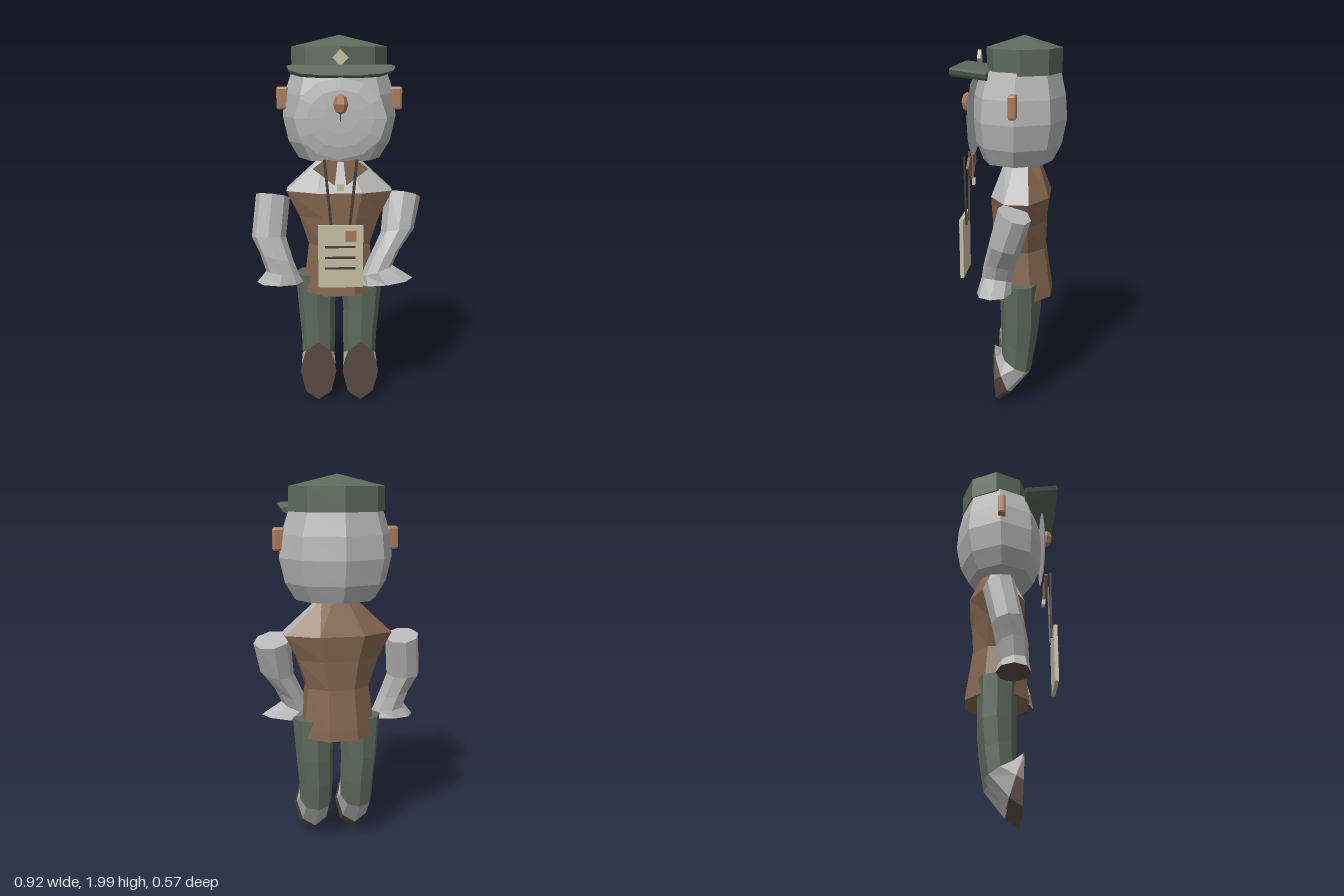
import * as THREE from 'three';
import { RoundedBoxGeometry } from 'three/addons/geometries/RoundedBoxGeometry.js';

const CX = 0.015; // centre line of the body

function makeMaterials() {
  const make = (name, color, side = THREE.FrontSide) => {
    const m = new THREE.MeshStandardMaterial({ color, side, flatShading: true });
    m.name = name;
    return m;
  };
  return {
    grey: make('greyFur', 0xb6b6b6, THREE.DoubleSide),
    green: make('greenCloth', 0x5d6a5c, THREE.DoubleSide),
    brown: make('brownJacket', 0x84664f, THREE.DoubleSide),
    sole: make('darkBrown', 0x594b42),
    tan: make('tanSkin', 0xaa7a58),
    paper: make('paper', 0xc6bda3),
    ink: make('ink', 0x453a34),
  };
}

// Rings run top to bottom: [cx, cy, cz, rx, fz, fy = 0, sy = 0].
// fz and fy give the vector to the ring's front point, sy the lift at its +x side.
// pick(band, side) returns the material of each face; bands -1 and rings.length - 1 are the caps.
function loft(name, rings, pick, phase = 0, n = 8) {
  const group = new THREE.Group();
  group.name = name;
  const points = rings.map(([cx, cy, cz, rx, fz, fy = 0, sy = 0]) =>
    Array.from({ length: n }, (_, i) => {
      const a = ((i + phase) / n) * Math.PI * 2;
      const s = Math.sin(a), c = Math.cos(a);
      return [cx + s * rx, cy + c * fy + s * sy, cz + c * fz];
    }));
  const byMaterial = new Map();
  const add = (mat, ...corners) => {
    if (!mat) return;
    if (!byMaterial.has(mat)) byMaterial.set(mat, []);
    byMaterial.get(mat).push(...corners.flat());
  };
  const last = rings.length - 1;
  for (let i = 0; i < n; i++) {
    const j = (i + 1) % n;
    add(pick(-1, i), rings[0].slice(0, 3), points[0][i], points[0][j]);
    for (let b = 0; b < last; b++) {
      const [A, B, C, D] = [points[b][i], points[b + 1][i], points[b + 1][j], points[b][j]];
      add(pick(b, i), A, B, C, A, C, D);
    }
    add(pick(last, i), rings[last].slice(0, 3), points[last][j], points[last][i]);
  }
  for (const [mat, array] of byMaterial) {
    const g = new THREE.BufferGeometry();
    g.setAttribute('position', new THREE.Float32BufferAttribute(array, 3));
    g.computeVertexNormals();
    const mesh = new THREE.Mesh(g, mat);
    mesh.name = name + '_' + mat.name;
    group.add(mesh);
  }
  return group;
}

export function createModel() {
  const model = new THREE.Group();
  model.name = 'figure';
  const M = makeMaterials();

  const put = (name, geometry, mat, x = 0, y = 0, z = 0) => {
    const mesh = new THREE.Mesh(geometry, mat);
    mesh.name = name;
    mesh.position.set(x, y, z);
    model.add(mesh);
    return mesh;
  };
  const box = (name, mat, w, h, d, x, y, z) =>
    put(name, new THREE.BoxGeometry(w, h, d), mat, x, y, z);
  const outline = (pts) => new THREE.Shape(pts.map(([x, y]) => new THREE.Vector2(x, y)));
  const slab = (pts, depth) =>
    new THREE.ExtrudeGeometry(outline(pts), { depth, bevelEnabled: false });

  // Head
  model.add(loft('head', [
    [CX, 1.83, -0.045, 0.245, 0.205],
    [CX, 1.7, -0.04, 0.288, 0.237],
    [CX, 1.58, -0.04, 0.3, 0.245],
    [CX, 1.45, -0.035, 0.27, 0.225],
    [CX, 1.36, -0.03, 0.215, 0.183],
  ], () => M.grey));

  // Shallow domed face disc
  model.add(loft('face', [
    [CX, 1.585, 0.216, 0.09, -0.001, 0.075],
    [CX, 1.585, 0.212, 0.17, -0.001, 0.145],
    [CX, 1.585, 0.2, 0.235, -0.001, 0.205],
  ], () => M.grey, 0, 12));

  // Nose and the groove under it
  put('nose', new THREE.SphereGeometry(1, 6, 4), M.tan, CX, 1.66, 0.235).scale.set(0.038, 0.052, 0.032);
  box('noseGroove', M.ink, 0.006, 0.035, 0.006, CX, 1.592, 0.219);

  // Ears
  for (const s of [-1, 1]) {
    put(s > 0 ? 'leftEar' : 'rightEar', new RoundedBoxGeometry(0.064, 0.12, 0.042, 1, 0.012),
      M.tan, CX + s * 0.3, 1.675, -0.034);
  }

  // Cap with a low pointed crown
  model.add(loft('cap', [
    [CX, 2.0, -0.063, 0.001, 0.001],
    [CX, 1.94, -0.063, 0.252, 0.194],
    [CX, 1.815, -0.063, 0.252, 0.194],
  ], () => M.green));

  // Visor: flat on top, curved below, tipped up at the front
  const visor = put('visor', slab([
    [-0.265, 0.012], [-0.255, -0.008], [-0.2, -0.024], [-0.08, -0.034],
    [0.08, -0.034], [0.2, -0.024], [0.255, -0.008], [0.265, 0.012], [0.24, 0.02], [-0.24, 0.02],
  ], 0.18), M.green, CX, 1.812, 0.1);
  visor.rotation.x = -0.12;

  // Diamond badge
  box('badge', M.paper, 0.058, 0.058, 0.018, CX, 1.885, 0.167).rotation.z = Math.PI / 4;

  // Torso: grey chest and shoulders, brown jacket with side slits
  model.add(loft('torso', [
    [CX, 1.37, -0.055, 0.095, 0.092],
    [CX, 1.185, -0.052, 0.308, 0.162],
    [CX, 1.05, -0.045, 0.233, 0.15],
    [CX, 0.895, -0.045, 0.178, 0.146],
    [CX, 0.68, -0.05, 0.205, 0.174],
    [CX, 0.627, -0.05, 0.21, 0.18],
  ], (band, side) => {
    if (band === -1) return M.grey;
    if (band === 0) return side >= 3 && side <= 5 ? M.brown : M.grey;
    if (band === 4 && side % 4 === 2) return null;
    return M.brown;
  }, -0.5));

  // Arms: rings per arm, with a flared cuff and dark end
  const armColour = (band) => (band === 4 ? M.sole : M.grey);
  model.add(loft('leftArm', [
    [0.36, 1.155, -0.05, 0.098, 0.082, 0.03, -0.015],
    [0.33, 0.965, 0.005, 0.09, 0.08, 0.02, 0.01],
    [0.25, 0.83, 0.045, 0.088, 0.08, 0.012, 0.035],
    [0.215, 0.755, 0.06, 0.085, 0.08, 0.01, 0.03],
    [0.265, 0.698, 0.068, 0.145, 0.09, 0, 0.018],
  ], armColour));
  model.add(loft('rightArm', [
    [-0.345, 1.15, -0.05, 0.092, 0.082, 0.025, -0.01],
    [-0.368, 0.93, -0.005, 0.093, 0.08, 0.015, 0],
    [-0.325, 0.82, 0.02, 0.09, 0.08, 0.01, -0.02],
    [-0.295, 0.735, 0.025, 0.09, 0.078, 0.01, -0.01],
    [-0.308, 0.683, 0.025, 0.126, 0.088, 0, 0],
  ], armColour));

  // Legs: trousers, grey ankle, then a foot that ends in an upright dark sole
  for (const s of [-1, 1]) {
    const x = CX + s * 0.116;
    model.add(loft(s > 0 ? 'leftLeg' : 'rightLeg', [
      [x + s * 0.01, 0.72, -0.05, 0.115, 0.105],
      [x + s * 0.008, 0.5, -0.052, 0.1, 0.1, 0.01],
      [x, 0.36, -0.045, 0.094, 0.092, 0.02],
      [x, 0.245, -0.035, 0.09, 0.08, 0.045],
      [x, 0.2, 0.04, 0.095, 0.045, 0.14],
      [x, 0.178, 0.077, 0.099, 0.008, 0.172],
    ], (band) => (band < 3 ? M.green : band === 3 ? M.grey : M.sole)));
  }

  // Collar points, straps and button
  for (const s of [-1, 1]) {
    const p = [[-0.14, 1.335], [-0.08, 1.38], [-0.015, 1.375], [-0.03, 1.25]]
      .map(([x, y]) => [-s * x, y]);
    put(s > 0 ? 'leftCollar' : 'rightCollar', slab(p, 0.012), M.brown, CX, 0, 0.212);
    const strap = box('strap', M.ink, 0.014, 0.38, 0.01, CX + s * 0.063, 1.195, 0.243);
    strap.rotation.z = -s * 0.1;
  }
  box('button', M.paper, 0.034, 0.034, 0.016, CX, 1.236, 0.207);

  // Letter hanging in front, with stamp and lines
  box('letter', M.paper, 0.23, 0.325, 0.02, CX, 0.888, 0.26);
  box('stamp', M.tan, 0.056, 0.056, 0.009, 0.067, 0.997, 0.274);
  for (let i = 0; i < 3; i++) {
    box('letterLine', M.ink, 0.155, 0.01, 0.006, 0.013, 0.94 - i * 0.056, 0.272);
  }

  return model;
}
